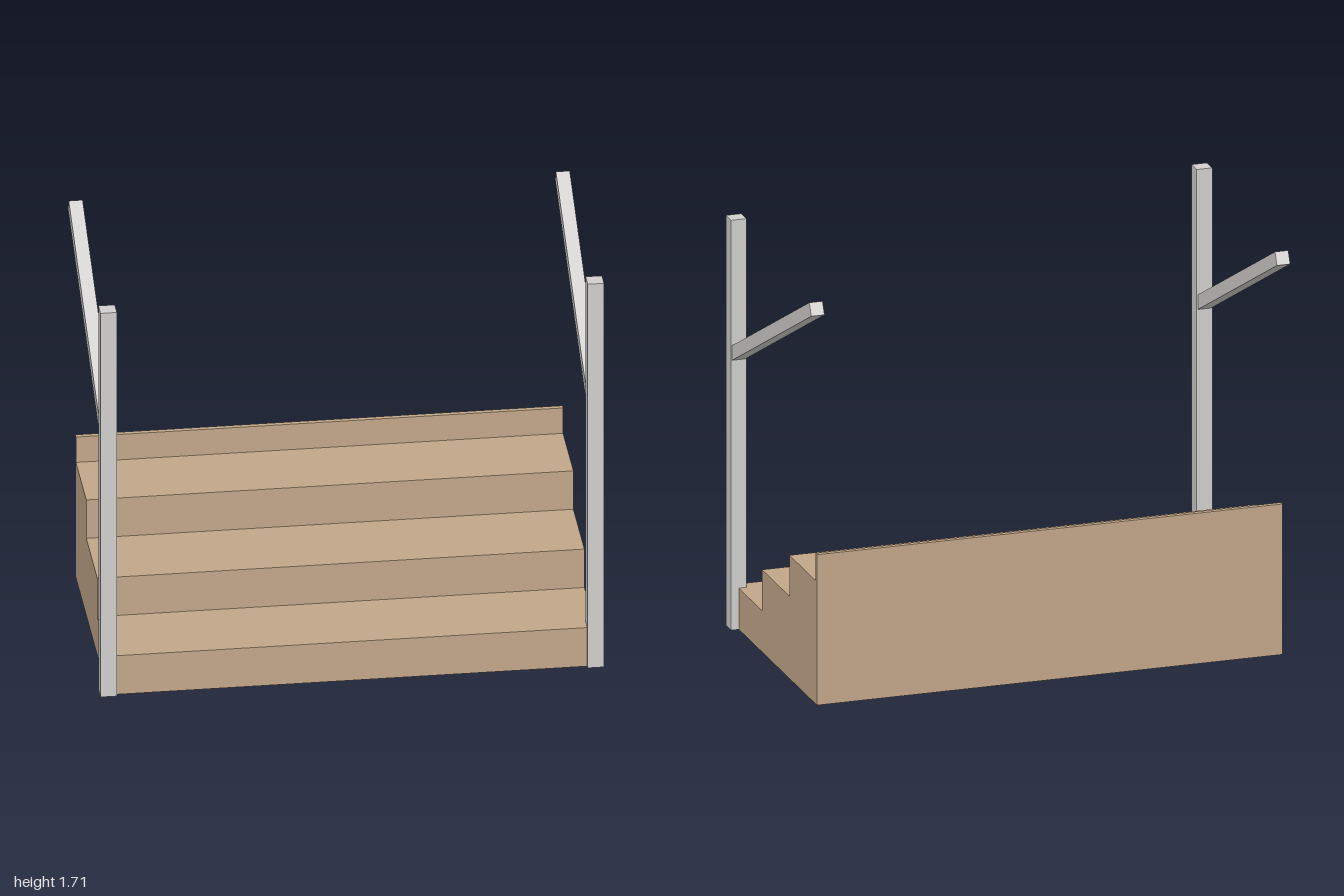
import * as THREE from 'three';

export function createModel() {
  const model = new THREE.Group();
  const wood = new THREE.MeshStandardMaterial({ name: 'wood', color: 0xc2a789 });
  const metal = new THREE.MeshStandardMaterial({ name: 'metal', color: 0xd0cfce });

  // Stair block: side profile (z, y) extruded across the width
  const width = 1.935;
  const profile = [
    [0.51, 0], [0.51, 0.172], [0.172, 0.172], [0.172, 0.343], [-0.168, 0.343],
    [-0.168, 0.514], [-0.488, 0.514], [-0.488, 0.627], [-0.508, 0.627], [-0.508, 0],
  ].map(([z, y]) => new THREE.Vector2(z, y));
  const stairGeometry = new THREE.ExtrudeGeometry(new THREE.Shape(profile), { depth: width, bevelEnabled: false });
  stairGeometry.translate(0, 0, -width / 2).rotateY(-Math.PI / 2);
  const stairs = new THREE.Mesh(stairGeometry, wood);
  stairs.name = 'stairs';
  model.add(stairs);

  // Handrail runs from inside the post up to the back
  const railStart = new THREE.Vector3(0, 1.14, 0.49);
  const railEnd = new THREE.Vector3(0, 1.652, -0.508);
  const postGeometry = new THREE.BoxGeometry(0.065, 1.708, 0.065);
  const railGeometry = new THREE.BoxGeometry(0.055, 0.055, railStart.distanceTo(railEnd));

  for (const [side, sign] of [['left', 1], ['right', -1]]) {
    const x = sign * 0.9675;

    const post = new THREE.Mesh(postGeometry, metal);
    post.name = side + 'Post';
    post.position.set(x, 0.854, 0.4925);

    const rail = new THREE.Mesh(railGeometry, metal);
    rail.name = side + 'Handrail';
    rail.position.copy(railStart).lerp(railEnd, 0.5).setX(x);
    rail.rotation.x = Math.atan2(railEnd.y - railStart.y, railStart.z - railEnd.z);

    model.add(post, rail);
  }
  return model;
}
